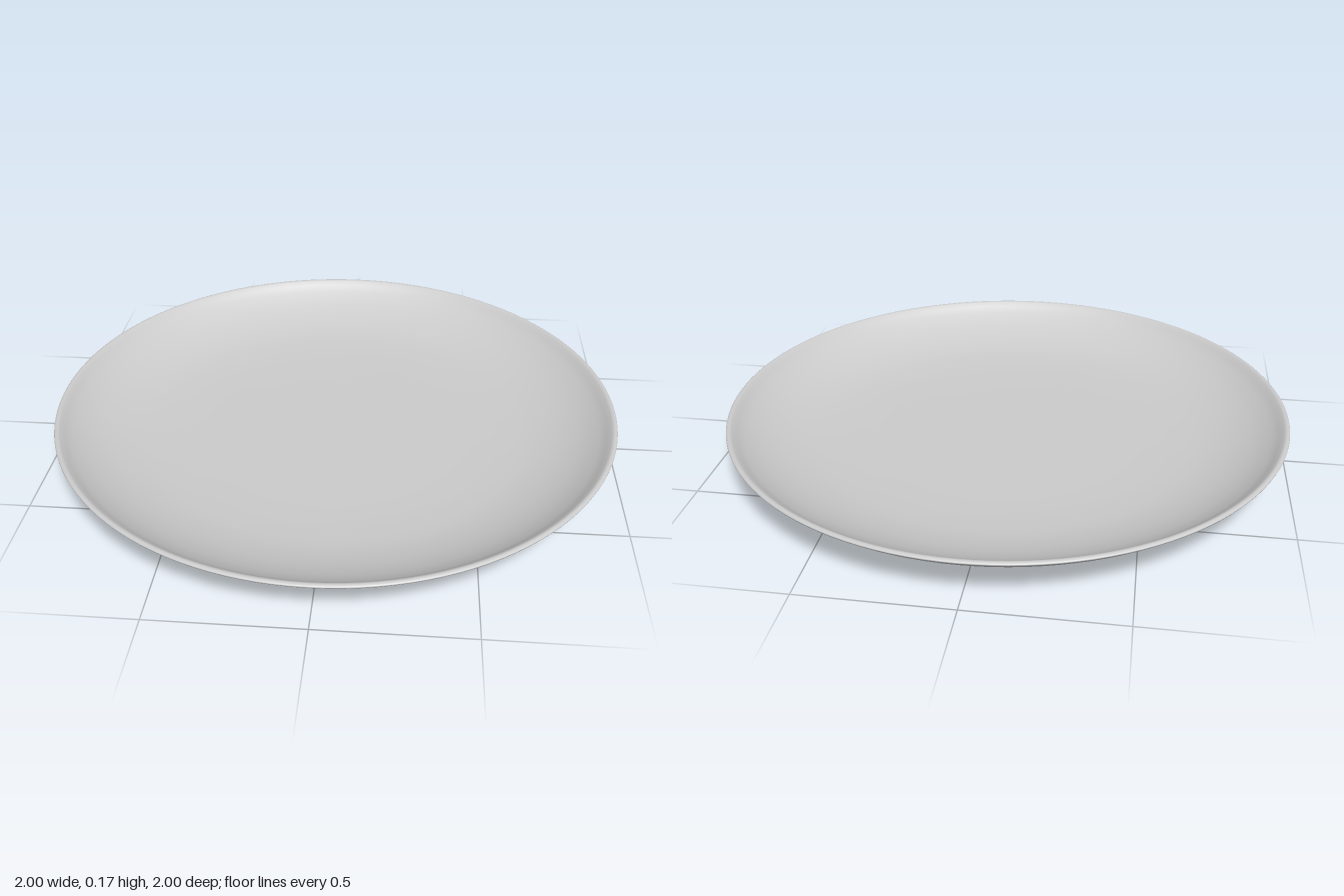
import * as THREE from 'three';

const spline = (pts, n) =>
  new THREE.SplineCurve(pts.map(([r, y]) => new THREE.Vector2(r, y))).getPoints(n);

export function createModel() {
  const group = new THREE.Group();
  const material = new THREE.MeshStandardMaterial({ color: 0xcccccc });

  // Closed profile, from the middle of the underside out round the rim to the middle of the top
  const sections = [
    // recessed underside
    spline([[0, 0.016], [0.3, 0.016], [0.588, 0.016]], 6),
    // rounded foot ring
    spline([[0.595, 0.014], [0.602, 0.006], [0.61, 0.001], [0.618, 0],
      [0.627, 0.002], [0.633, 0.009], [0.638, 0.017], [0.65, 0.022]], 21),
    // curved outer wall
    spline([[0.66, 0.024], [0.72, 0.035], [0.8, 0.055], [0.88, 0.085], [0.95, 0.122], [0.99, 0.153]], 24),
    // rounded lip
    spline([[0.997, 0.159], [1, 0.164], [0.997, 0.168], [0.989, 0.17], [0.981, 0.167]], 12),
    // curved inside wall
    spline([[0.972, 0.16], [0.94, 0.135], [0.88, 0.102], [0.8, 0.073], [0.7, 0.052], [0.58, 0.042]], 24),
    // nearly flat well
    spline([[0.5, 0.039], [0.3, 0.037], [0, 0.036]], 8),
  ];

  const plate = new THREE.Mesh(new THREE.LatheGeometry(sections.flat(), 128), material);
  plate.name = 'plate';
  group.add(plate);
  return group;
}
